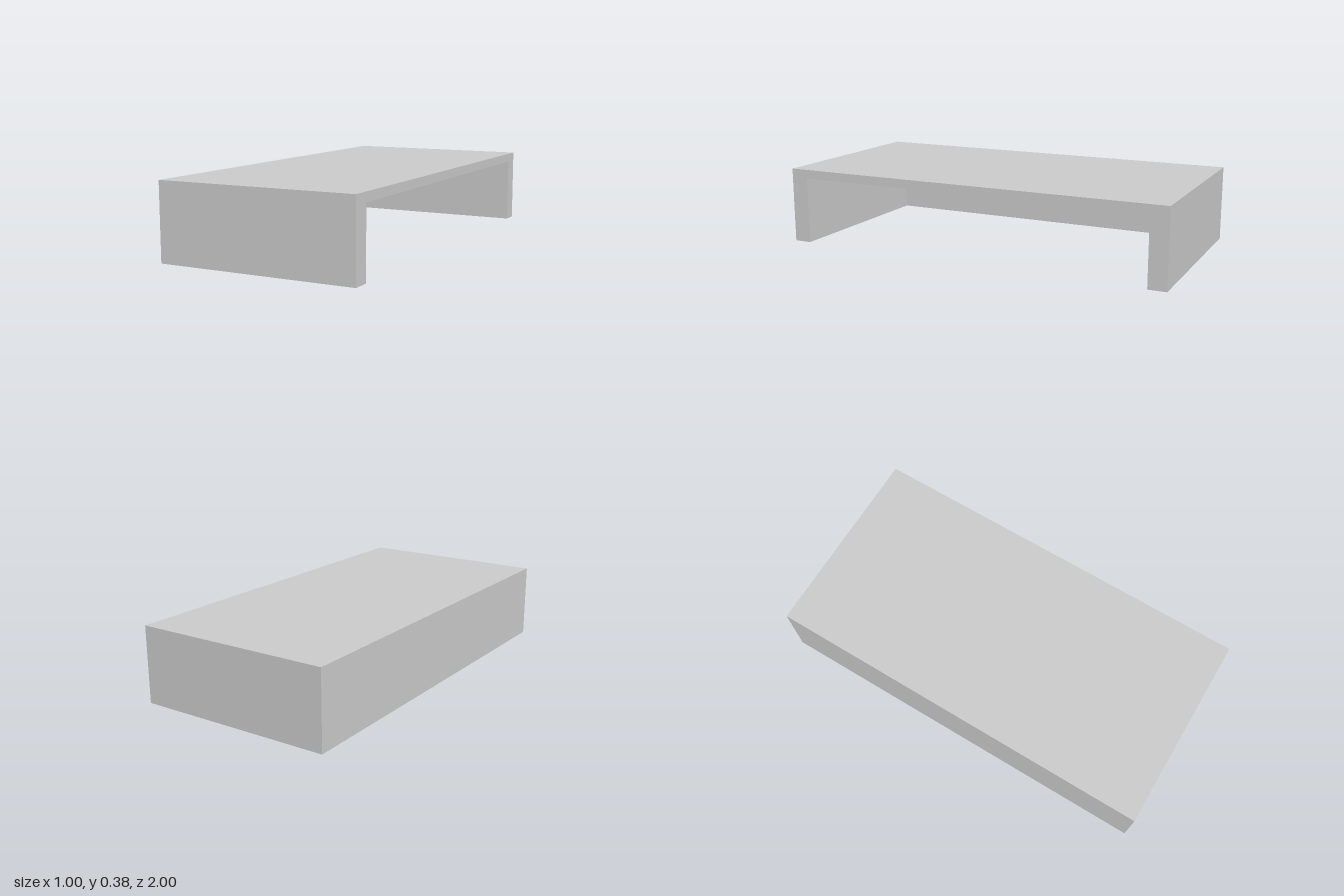
import * as THREE from 'three';

const W = 1, H = 0.383, L = 2;               // overall width (x), height, length (z)
const TOP = 0.045, END = 0.09, BACK = 0.05;  // panel thicknesses

export function createModel() {
  const group = new THREE.Group();
  group.name = 'openSidedCover';
  const material = new THREE.MeshStandardMaterial({ color: 0xcccccc });

  // Top and both end walls: an arch profile extruded across the width
  const o = L / 2, i = o - END, depth = W - BACK;
  const profile = new THREE.Shape([
    [-o, 0], [-i, 0], [-i, H - TOP], [i, H - TOP], [i, 0], [o, 0], [o, H], [-o, H],
  ].map(([z, y]) => new THREE.Vector2(z, y)));
  const archGeometry = new THREE.ExtrudeGeometry(profile, { depth, bevelEnabled: false });
  archGeometry.rotateY(Math.PI / 2).translate(-W / 2 + BACK, 0, 0);
  const arch = new THREE.Mesh(archGeometry, material);
  arch.name = 'topAndEndWalls';
  group.add(arch);

  // Long closed wall on the -x side
  const wall = new THREE.Mesh(new THREE.BoxGeometry(BACK, H, L), material);
  wall.name = 'longSideWall';
  wall.position.set(-W / 2 + BACK / 2, H / 2, 0);
  group.add(wall);

  return group;
}
